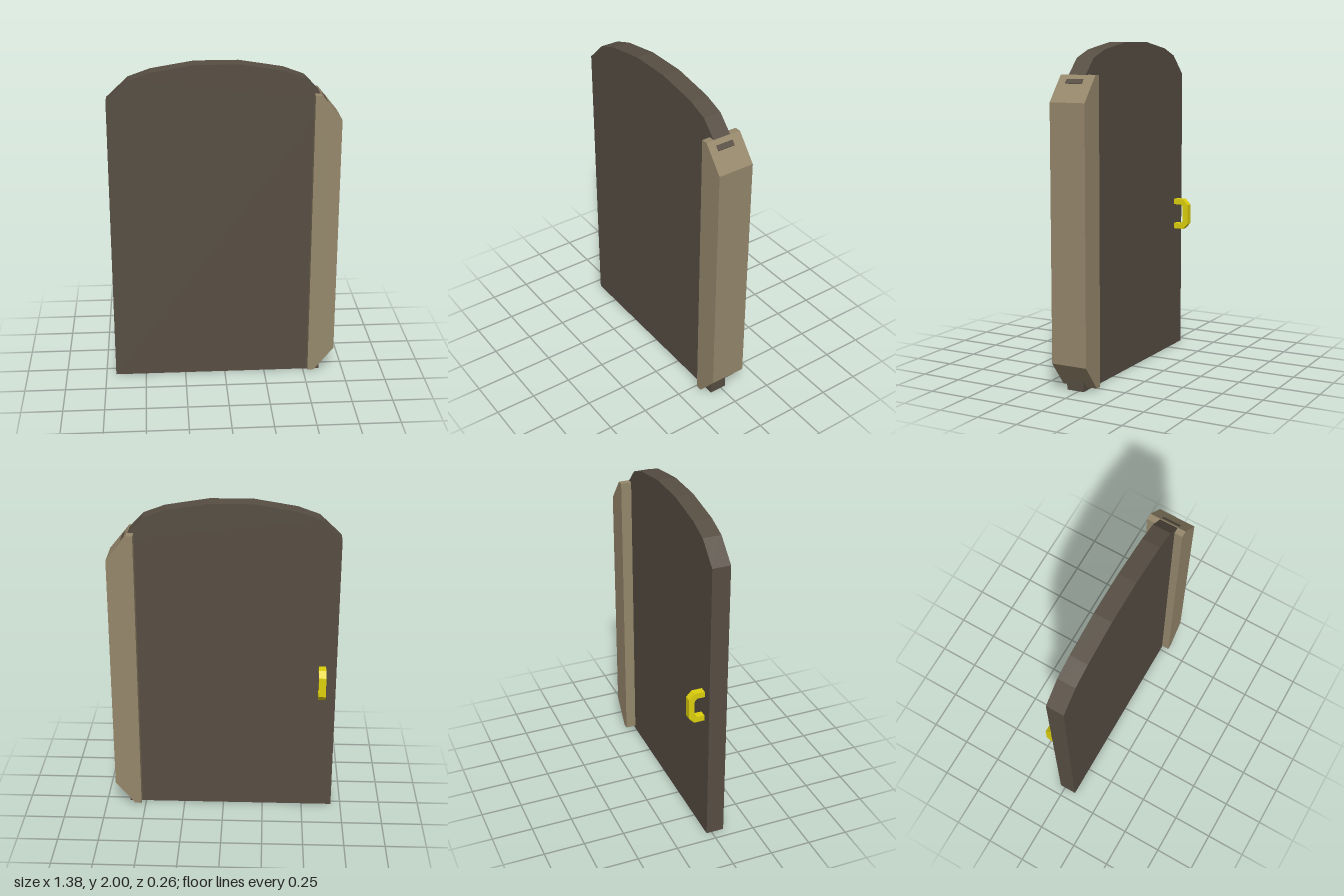
import * as THREE from 'three';

const mat = (name, color) => {
  const m = new THREE.MeshStandardMaterial({ color });
  m.name = name;
  return m;
};

// Straight extrusion of an outline from z0 to z1
function slab(points, z0, z1) {
  const shape = new THREE.Shape(points.map(([x, y]) => new THREE.Vector2(x, y)));
  const g = new THREE.ExtrudeGeometry(shape, { depth: z1 - z0, bevelEnabled: false });
  return g.translate(0, 0, z0);
}

export function createModel() {
  const group = new THREE.Group();
  group.name = 'archedDoor';
  const add = (name, geometry, material) => {
    const mesh = new THREE.Mesh(geometry, material);
    mesh.name = name;
    group.add(mesh);
  };
  const darkWood = mat('dark wood', 0x574e43);
  const paleWood = mat('pale wood', 0x95876b);
  const yellowMetal = mat('yellow metal', 0xded00c);

  // Door leaf with a faceted arched top
  add('doorPanel', slab([
    [-0.69, 0], [0.603, 0], [0.603, 1.775], [0.47, 1.912], [0.345, 1.958],
    [0.085, 2], [-0.175, 2], [-0.43, 1.958], [-0.56, 1.912], [-0.69, 1.79],
  ], -0.033, 0.077), darkWood);

  // Hinge post with chamfered outer corners
  add('hingePost', slab([
    [0.524, 0.02], [0.563, 0.02], [0.685, 0.17],
    [0.685, 1.67], [0.563, 1.82], [0.524, 1.82],
  ], -0.098, 0.127), paleWood);

  // C-shaped pull handle on the back, drawn as (distance behind, height)
  const handle = slab([
    [0.03, 0.785], [0.097, 0.785], [0.13, 0.82], [0.13, 0.945], [0.097, 0.98], [0.03, 0.98],
    [0.03, 0.945], [0.08, 0.945], [0.095, 0.93], [0.095, 0.835], [0.08, 0.82], [0.03, 0.82],
  ], -0.625, -0.581).rotateY(Math.PI / 2);
  add('handle', handle, yellowMetal);

  return group;
}
